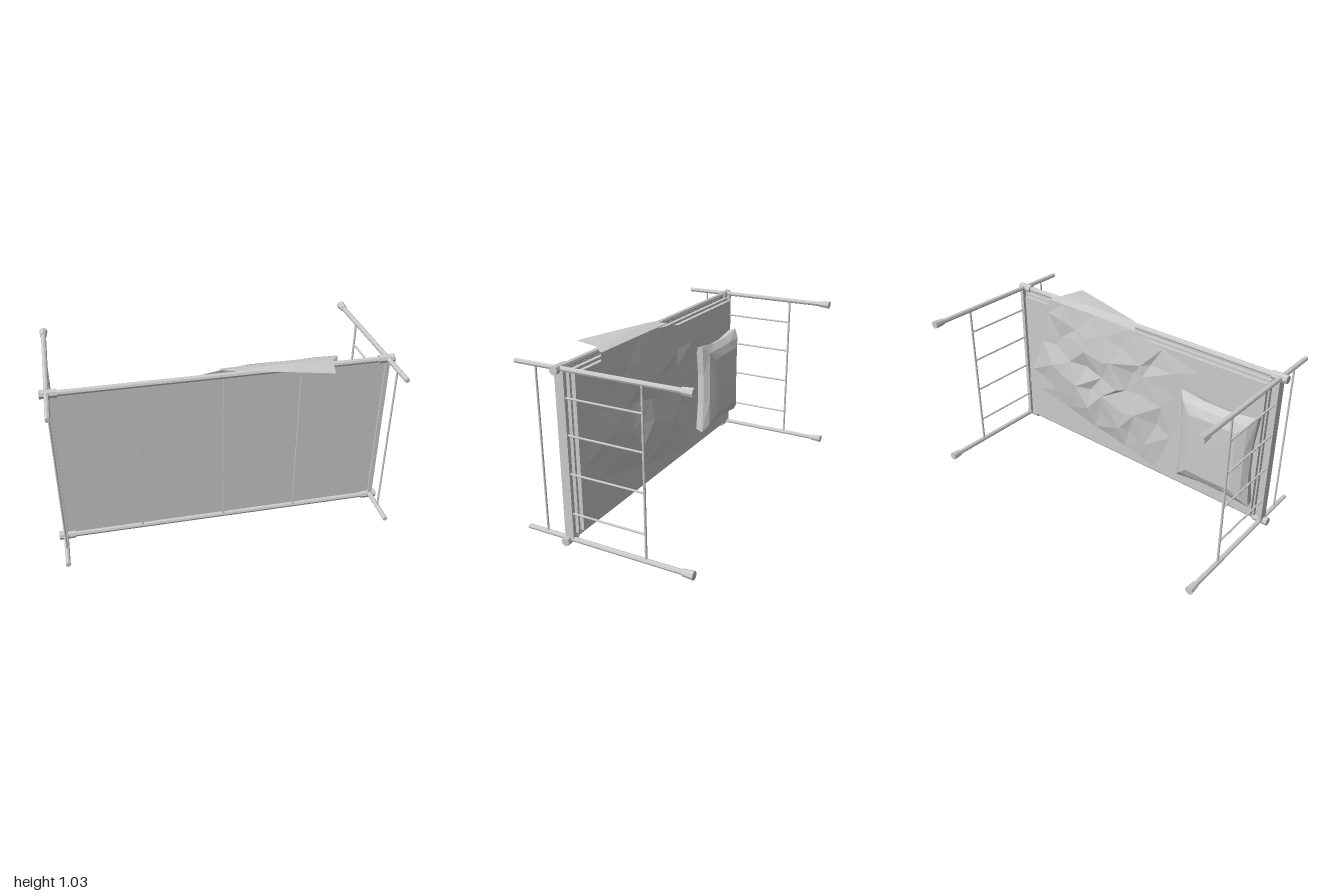
import * as THREE from 'three';

const mat = new THREE.MeshStandardMaterial({ color: 0xcccccc, flatShading: true });
const cloth = new THREE.MeshStandardMaterial({ color: 0xcccccc, flatShading: true, side: THREE.DoubleSide });

// Bed on its side: length along x, width along y, sleeping side towards -z
export function createModel() {
  const group = new THREE.Group();

  const add = (name, geometry, material = mat) => {
    const mesh = new THREE.Mesh(geometry, material);
    mesh.name = name;
    group.add(mesh);
    return mesh;
  };
  const box = (name, x0, x1, y0, y1, z0, z1) =>
    add(name, new THREE.BoxGeometry(x1 - x0, y1 - y0, z1 - z0))
      .position.set((x0 + x1) / 2, (y0 + y1) / 2, (z0 + z1) / 2);
  // Rod between two points, r0 at the start and r1 at the end
  const rod = (name, a, b, r0, r1 = r0, sides = 8) => {
    const from = new THREE.Vector3(...a), to = new THREE.Vector3(...b);
    const dir = to.clone().sub(from);
    const mesh = add(name, new THREE.CylinderGeometry(r1, r0, dir.length(), sides));
    mesh.position.copy(from).add(to).multiplyScalar(0.5);
    mesh.quaternion.setFromUnitVectors(new THREE.Vector3(0, 1, 0), dir.normalize());
  };
  // Indexed surface made of rows of points
  const surface = (name, rows, closed, extra = []) => {
    const n = rows[0].length, index = [];
    for (let j = 0; j < rows.length - 1; j++) {
      for (let i = 0; i < (closed ? n : n - 1); i++) {
        const a = j * n + i, b = j * n + (i + 1) % n;
        if ((i + j) % 2) index.push(a, a + n, b, b, a + n, b + n);
        else index.push(a, b + n, b, a, a + n, b + n);
      }
    }
    // Fan closing the last row
    if (extra.length) {
      const last = (rows.length - 1) * n;
      for (let i = 0; i < n; i++) index.push(last + i, rows.length * n, last + (i + 1) % n);
    }
    const g = new THREE.BufferGeometry();
    g.setAttribute('position', new THREE.Float32BufferAttribute([...rows.flat(), ...extra].flat(), 3));
    g.setIndex(index);
    g.computeVertexNormals();
    add(name, g, cloth);
  };

  // Side rails with ferrules
  for (const y of [0.03, 1.005]) {
    rod('sideRail', [-0.95, y, 0.25], [0.95, y, 0.25], 0.017);
    for (const s of [-1, 1]) rod('railFerrule', [s * 0.905, y, 0.248], [s, y, 0.248], 0.025);
  }

  // Head and foot ends
  for (const s of [-1, 1]) {
    const x = s * 0.96;
    for (const y of [0.037, 1.008]) {
      rod('post', [x, y, 0.52], [x, y, -0.48], 0.014, 0.015);
      rod('postCap', [x, y, -0.455], [x, y, -0.52], 0.02, 0.025);
    }
    box('endRail', x - 0.012, x + 0.012, 0.03, 1.0, 0.21, 0.265);
    rod('lowerCrossbar', [x, 0.04, 0.39], [x, 1.0, 0.39], 0.006);
    rod('upperCrossbar', [x, 0.04, -0.24], [x, 1.0, -0.24], 0.007);
    for (const y of [0.195, 0.43, 0.65, 0.855])
      rod('endSpindle', [x, y, 0.22], [x, y, -0.24], 0.006);
  }

  // Base panel, slats and layered mattress
  box('basePanel', -0.95, 0.95, 0.035, 0.995, 0.235, 0.25);
  for (const x of [-0.5, 0, 0.45]) box('slat', x - 0.006, x + 0.006, 0.035, 0.995, 0.248, 0.262);
  box('mattressBase', -0.92, 0.92, 0.055, 0.985, 0.212, 0.236);
  box('mattress', -0.91, 0.905, 0.07, 0.97, 0.188, 0.213);

  // Pillow: stacked rings with pulled corners and pinched sides
  const ring = (z, hx, hy, pinch) => {
    const corners = [[1, 1], [-1, 1], [-1, -1], [1, -1]], pts = [];
    corners.forEach(([cx, cy], k) => {
      const [nx, ny] = corners[(k + 1) % 4];
      for (let i = 0; i < 3; i++) {
        const t = i / 3, p = i ? 1 - pinch : 1;
        const ux = cx + (nx - cx) * t, uy = cy + (ny - cy) * t;
        pts.push([-0.655 + hx * ux * (k % 2 ? p : 1), 0.47 + hy * uy * (k % 2 ? 1 : p), z]);
      }
    });
    return pts;
  };
  surface('pillow', [
    ring(0.188, 0.25, 0.29, 0.1),
    ring(0.14, 0.255, 0.305, 0.07),
    ring(0.105, 0.215, 0.255, 0.02),
    ring(0.082, 0.155, 0.195, -0.03),
  ], true, [[-0.655, 0.47, 0.078]]);

  // Blanket: rows between two ragged side edges, with crumpled height
  let seed = 11;
  const random = () => (seed = (seed * 16807) % 2147483647) / 2147483647;
  const left = [[-0.2, 0.105], [-0.26, 0.24], [-0.32, 0.38], [-0.37, 0.53], [-0.36, 0.69], [-0.42, 0.8], [-0.49, 0.89]];
  const right = [[0.91, 0.34], [0.86, 0.45], [0.8, 0.58], [0.75, 0.7], [0.7, 0.81], [0.695, 0.92], [0.68, 1.02]];
  const rows = left.map((l, j) => {
    const r = right[j], n = 9, row = [];
    for (let i = 0; i <= n; i++) {
      const u = i / n, inner = i > 0 && i < n && j > 0 && j < 6;
      const jx = inner ? (random() - 0.5) * 0.08 : 0, jy = inner ? (random() - 0.5) * 0.07 : 0;
      const rise = j === 6 ? 0.06 * Math.sin(Math.PI * u) : 0;
      row.push([
        l[0] + (r[0] - l[0]) * u + jx,
        Math.min(1.02, l[1] + (r[1] - l[1]) * u + jy + rise),
        inner ? 0.182 - random() * 0.042 : 0.184 - random() * 0.01,
      ]);
    }
    return row;
  });
  surface('blanket', rows, false);

  // Corner of the blanket hanging over the side rail
  surface('blanketFlap', [
    [[-0.02, 1.015, 0.185], [0.32, 1.02, 0.18], [0.68, 1.02, 0.182]],
    [[0.03, 1.03, 0.25], [0.34, 1.036, 0.245], [0.63, 1.032, 0.25]],
    [[0.06, 1.031, 0.26], [0.34, 1.034, 0.335], [0.59, 1.034, 0.405]],
  ], false);

  return group;
}
